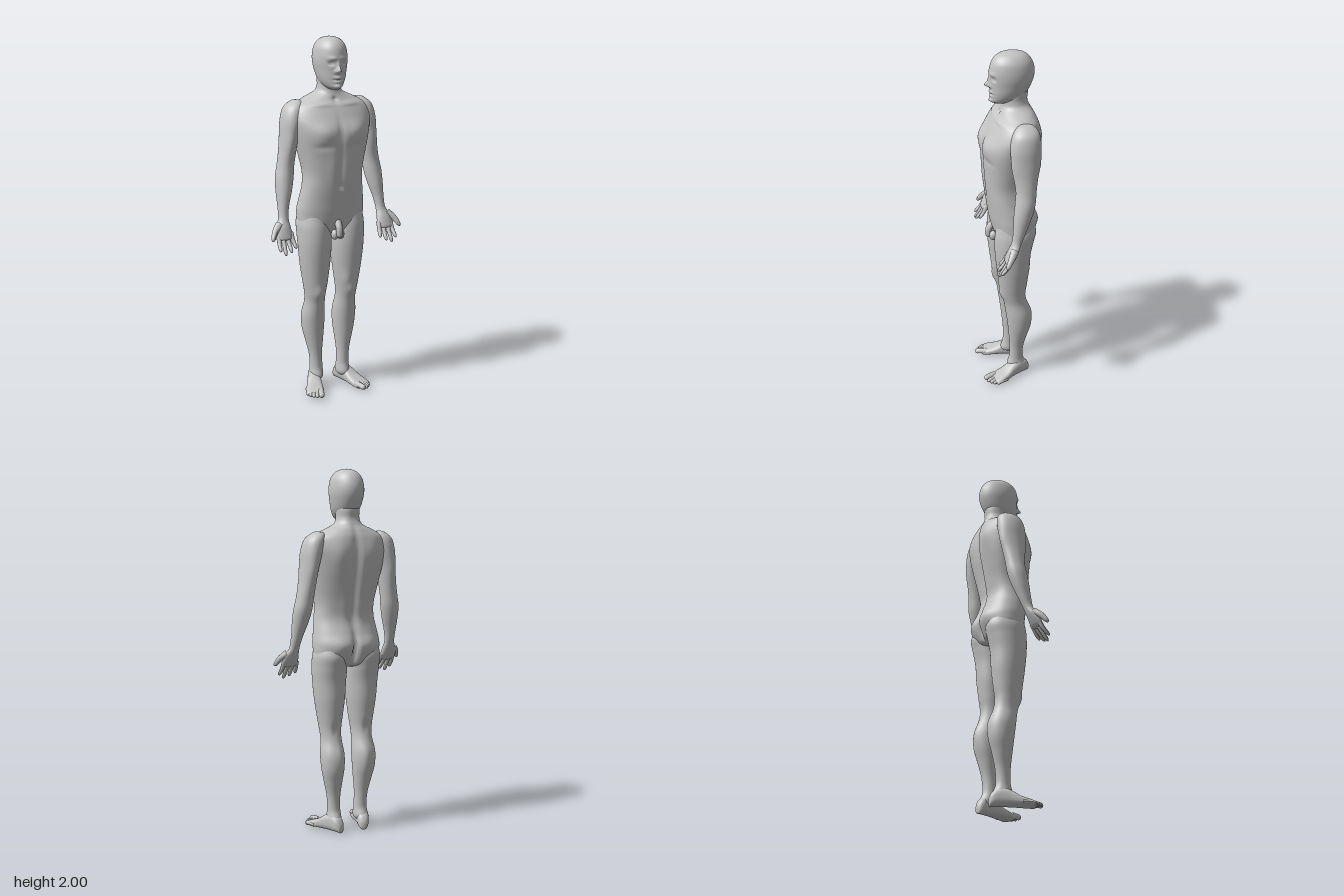
import * as THREE from 'three';

const skin = new THREE.MeshStandardMaterial({ color: 0xc4c4c4 });
skin.name = 'matte grey';

// Smooth value between section rows
function spline(rows, i, u, k) {
  const at = (n) => rows[Math.min(rows.length - 1, Math.max(0, n))][k] ?? 1;
  const a = at(i - 1), b = at(i), c = at(i + 1), d = at(i + 2);
  return b + 0.5 * u * (c - a + u * (2 * a - 5 * b + 4 * c - d + u * (3 * (b - c) + d - a)));
}

// Loft through rows [y, xMin, xMax, zFront, zBack, squareness], listed top down.
// Bumps [x, y, width, height, amount, side] swell or dent the front (1) or back (-1).
function loft(rows, bumps = [], seg = 64, steps = 7) {
  const pos = [], index = [];
  const count = (rows.length - 1) * steps;
  for (let r = 0; r <= count; r++) {
    const i = Math.min(rows.length - 2, Math.floor(r / steps)), u = r / steps - i;
    const [y, x0, x1, zf, zb, p] = [0, 1, 2, 3, 4, 5].map((k) => spline(rows, i, u, k));
    for (let j = 0; j < seg; j++) {
      const t = (j / seg) * Math.PI * 2, c = Math.cos(t), s = Math.sin(t);
      const x = (x0 + x1) / 2 + ((x1 - x0) / 2) * Math.sign(c) * Math.abs(c) ** p;
      let z = (zf + zb) / 2 + ((zf - zb) / 2) * Math.sign(s) * Math.abs(s) ** p;
      for (const [bx, by, w, h, amount, side] of bumps) {
        if (s * side <= 0) continue;
        const g = Math.exp(-(((Math.abs(x) - bx) / w) ** 2) - ((y - by) / h) ** 2);
        z += amount * side * g * Math.abs(s);
      }
      pos.push(x, y, z);
      if (r < count) {
        const a = r * seg + j, b = r * seg + ((j + 1) % seg);
        index.push(a, b, a + seg, b, b + seg, a + seg);
      }
    }
  }
  const g = new THREE.BufferGeometry();
  g.setAttribute('position', new THREE.Float32BufferAttribute(pos, 3));
  g.setIndex(index);
  g.computeVertexNormals();
  return g;
}

// Rounded, tapering tube for fingers and toes
function digit(points, r0, r1) {
  const curve = new THREE.CatmullRomCurve3(points.map((p) => new THREE.Vector3(...p)));
  const n = 20, g = new THREE.TubeGeometry(curve, n, 1, 12, false);
  const pos = g.attributes.position, v = new THREE.Vector3();
  for (let k = 0; k < pos.count; k++) {
    const t = Math.floor(k / 13) / n, c = curve.getPointAt(t);
    const round = Math.sqrt(Math.max(0, 1 - Math.max(0, (t - 0.8) / 0.2) ** 2));
    v.fromBufferAttribute(pos, k).sub(c).multiplyScalar((r0 + (r1 - r0) * t) * round).add(c);
    pos.setXYZ(k, v.x, v.y, v.z);
  }
  g.computeVertexNormals();
  return g;
}

// Mirror across x, keeping faces outward
function mirrored(geometry) {
  const g = geometry.clone().scale(-1, 1, 1);
  const a = g.index.array;
  for (let i = 0; i < a.length; i += 3) [a[i], a[i + 1]] = [a[i + 1], a[i]];
  g.computeVertexNormals();
  return g;
}

export function createModel() {
  const model = new THREE.Group();
  model.name = 'standingFigure';
  const add = (name, g) => {
    const mesh = new THREE.Mesh(g, skin);
    mesh.name = name;
    model.add(mesh);
  };
  const pair = (name, g) => {
    add('left' + name, g);
    add('right' + name, mirrored(g));
  };
  const even = (rows) => rows.map(([y, w, ...rest]) => [y, -w, w, ...rest]);

  // Head with brow, eye sockets, nose, lips and chin
  add('head', loft(even([
    [2.0, 0, -0.025, -0.025], [1.995, 0.03, 0.02, -0.065], [1.98, 0.058, 0.055, -0.102],
    [1.95, 0.08, 0.08, -0.128], [1.91, 0.089, 0.091, -0.142], [1.87, 0.09, 0.092, -0.142],
    [1.83, 0.084, 0.089, -0.13], [1.79, 0.075, 0.088, -0.11], [1.76, 0.062, 0.087, -0.085],
    [1.738, 0.044, 0.084, -0.05], [1.725, 0.022, 0.066, -0.01], [1.722, 0, 0.03, 0.03],
  ]), [
    [0.03, 1.892, 0.022, 0.01, 0.006, 1], [0.036, 1.866, 0.015, 0.011, -0.014, 1],
    [0.036, 1.866, 0.009, 0.005, 0.006, 1], [0, 1.85, 0.009, 0.025, 0.012, 1],
    [0, 1.829, 0.012, 0.014, 0.026, 1], [0.015, 1.822, 0.008, 0.008, 0.008, 1],
    [0, 1.79, 0.022, 0.008, 0.009, 1], [0, 1.779, 0.024, 0.004, -0.006, 1],
    [0, 1.768, 0.02, 0.007, 0.007, 1], [0, 1.742, 0.022, 0.013, 0.012, 1],
  ], 120, 9));

  // Neck, chest, waist and hips
  add('torso', loft(even([
    [1.81, 0, -0.03, -0.03], [1.8, 0.06, 0.03, -0.105], [1.74, 0.063, 0.03, -0.108],
    [1.705, 0.08, 0.033, -0.12], [1.672, 0.15, 0.048, -0.138], [1.635, 0.21, 0.075, -0.152, 0.95],
    [1.58, 0.228, 0.105, -0.16, 0.9], [1.52, 0.218, 0.131, -0.161, 0.85],
    [1.45, 0.203, 0.138, -0.154, 0.83], [1.38, 0.188, 0.133, -0.14, 0.83],
    [1.28, 0.168, 0.127, -0.118, 0.83], [1.2, 0.171, 0.12, -0.108, 0.85],
    [1.12, 0.184, 0.11, -0.13, 0.88], [1.05, 0.192, 0.1, -0.148, 0.88],
    [0.98, 0.18, 0.085, -0.132, 0.9], [0.935, 0.1, 0.06, -0.1], [0.92, 0, -0.01, -0.01],
  ]), [
    [0.09, 1.505, 0.06, 0.05, 0.014, 1], [0.1, 1.43, 0.06, 0.018, -0.006, 1],
    [0, 1.5, 0.014, 0.08, -0.008, 1], [0, 1.32, 0.014, 0.1, -0.005, 1],
    [0.045, 1.32, 0.028, 0.1, 0.004, 1], [0, 1.205, 0.01, 0.01, -0.011, 1],
    [0.09, 1.648, 0.06, 0.011, 0.008, 1], [0, 1.67, 0.014, 0.014, -0.012, 1],
    [0, 1.42, 0.022, 0.24, -0.02, -1], [0.1, 1.56, 0.05, 0.08, 0.013, -1],
    [0.05, 1.25, 0.03, 0.1, 0.005, -1], [0.085, 1.055, 0.06, 0.06, 0.016, -1],
    [0, 1.02, 0.014, 0.07, -0.035, -1],
  ], 128));

  // Arm running into the palm
  pair('Arm', loft([
    [1.668, 0.19, 0.19, -0.05, -0.05], [1.66, 0.155, 0.215, -0.015, -0.095],
    [1.625, 0.15, 0.256, 0.018, -0.122], [1.56, 0.162, 0.275, 0.034, -0.128],
    [1.48, 0.184, 0.281, 0.03, -0.12], [1.4, 0.196, 0.289, 0.02, -0.106],
    [1.32, 0.208, 0.302, 0.013, -0.096], [1.25, 0.216, 0.316, 0.02, -0.088],
    [1.18, 0.232, 0.319, 0.029, -0.068], [1.1, 0.256, 0.318, 0.035, -0.036],
    [1.04, 0.266, 0.322, 0.044, -0.01], [0.995, 0.262, 0.346, 0.066, 0.01],
    [0.955, 0.258, 0.352, 0.08, 0.032], [0.935, 0.264, 0.346, 0.083, 0.048], [0.925, 0.305, 0.305, 0.068, 0.068],
  ], [[0.25, 1.44, 0.03, 0.06, 0.006, 1], [0.24, 1.45, 0.03, 0.07, 0.005, -1]], 48));

  // Thumb and four fingers
  pair('Thumb', digit([[0.325, 1.01, 0.035], [0.358, 0.98, 0.06], [0.384, 0.935, 0.09]], 0.022, 0.011));
  [[0.267, 0.253, 0.885, 0.105], [0.29, 0.285, 0.868, 0.119], [0.314, 0.319, 0.855, 0.12],
    [0.337, 0.347, 0.878, 0.114]].forEach(([x, tx, ty, tz], i) => pair('Finger' + (i + 1), digit(
    [[x, 0.965, 0.052], [(x + tx) / 2, 0.915, 0.08], [tx, ty, tz]], 0.0145, 0.009)));

  // Leg from hip to ankle
  pair('Leg', loft([
    [1.09, 0.09, 0.09, -0.02, -0.02], [1.07, 0.04, 0.165, 0.06, -0.1],
    [1.0, 0.008, 0.193, 0.085, -0.137], [0.93, 0.004, 0.195, 0.092, -0.126],
    [0.85, 0.006, 0.191, 0.09, -0.11], [0.75, 0.013, 0.182, 0.08, -0.104],
    [0.65, 0.026, 0.167, 0.067, -0.092], [0.58, 0.036, 0.156, 0.054, -0.085],
    [0.52, 0.038, 0.152, 0.04, -0.092], [0.44, 0.03, 0.163, 0.028, -0.118],
    [0.36, 0.032, 0.159, 0.018, -0.118], [0.28, 0.04, 0.142, 0.01, -0.097],
    [0.2, 0.048, 0.124, 0.004, -0.078], [0.12, 0.047, 0.119, 0.006, -0.073],
    [0.06, 0.046, 0.121, 0.018, -0.09], [0.03, 0.08, 0.08, -0.03, -0.03],
  ], [
    [0.097, 0.59, 0.03, 0.035, 0.01, 1], [0.06, 0.65, 0.025, 0.04, 0.007, 1],
    [0.075, 0.43, 0.025, 0.07, 0.006, -1], [0.095, 0.58, 0.02, 0.04, -0.006, -1],
  ]));

  // Foot and toes, turned outward about the heel
  const placeFoot = (g) => g.rotateY(0.33).translate(0.083, 0, -0.068);
  pair('Foot', placeFoot(loft([
    [0.205, 0.003, 0.003, -0.012, -0.012], [0.195, -0.038, 0.046, 0, -0.026, 0.7],
    [0.17, -0.045, 0.053, 0, -0.036, 0.7], [0.12, -0.042, 0.05, 0, -0.055, 0.75],
    [0.07, -0.036, 0.042, 0, -0.085, 0.8], [0.02, -0.033, 0.036, 0, -0.1, 0.8],
    [-0.02, -0.03, 0.031, 0, -0.08, 0.8], [-0.04, -0.018, 0.018, 0.002, -0.05, 0.8],
    [-0.045, 0, 0, -0.025, -0.025],
  ], [], 40).rotateX(Math.PI / 2)));
  [[-0.028, 0.24, 0.017], [-0.003, 0.237, 0.012], [0.016, 0.228, 0.0115], [0.033, 0.215, 0.011],
    [0.047, 0.198, 0.0105]].forEach(([x, tip, r], i) => pair('Toe' + (i + 1), placeFoot(digit(
    [[x, r + 0.006, tip - 0.07], [x, r + 0.006, tip - 0.03], [x, r, tip]], r, r * 0.85))));

  // Simple groin forms
  add('groinFront', digit([[0, 1.01, 0.075], [0, 0.97, 0.103], [0, 0.915, 0.107]], 0.02, 0.017));
  pair('GroinSide', new THREE.SphereGeometry(0.023, 20, 14).scale(0.9, 1.25, 1).translate(0.017, 0.93, 0.082));

  return model;
}
